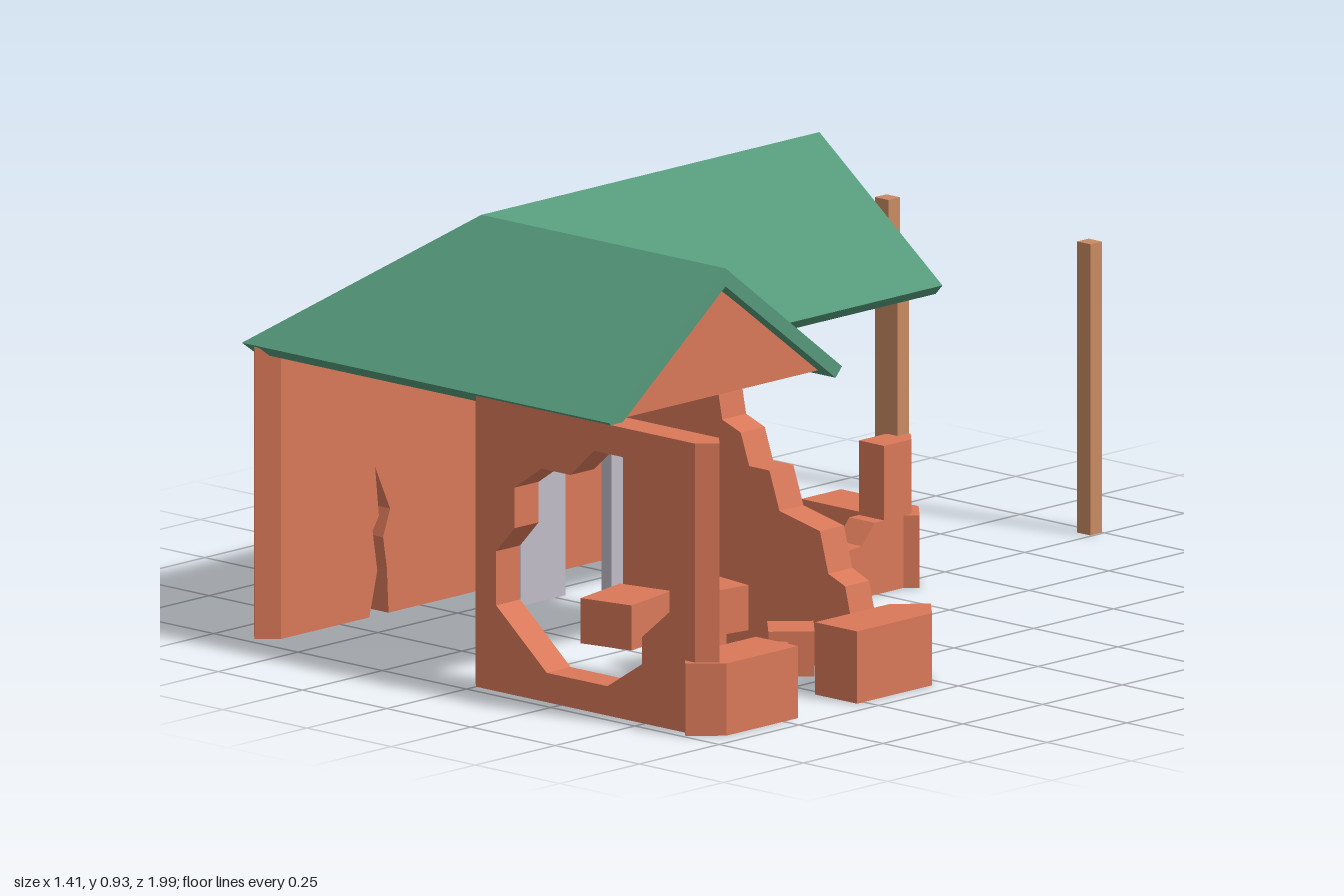
import * as THREE from 'three';

const mat = (color) => new THREE.MeshStandardMaterial({ color, flatShading: true });

export function createModel() {
  const model = new THREE.Group();
  const brick = mat(0xd97859), green = mat(0x55997a), wood = mat(0xc98a62), grey = mat(0xc0bcc8);

  const add = (name, geometry, material) => {
    const mesh = new THREE.Mesh(geometry, material);
    mesh.name = name;
    model.add(mesh);
    return mesh;
  };
  // box given by its minimum and maximum corners
  const block = (name, x0, x1, y0, y1, z0, z1, material = brick) =>
    add(name, new THREE.BoxGeometry(x1 - x0, y1 - y0, z1 - z0), material)
      .position.set((x0 + x1) / 2, (y0 + y1) / 2, (z0 + z1) / 2);
  // upright square prism turned 45 degrees, makes a pointed wall end
  const point = (name, x, z, h, half) => {
    const side = half * Math.SQRT2;
    const m = add(name, new THREE.BoxGeometry(side, h, side), brick);
    m.position.set(x, h / 2, z);
    m.rotation.y = Math.PI / 4;
  };
  const shapeOf = (pts) => new THREE.Shape(pts.map(([x, y]) => new THREE.Vector2(x, y)));
  const extrude = (shape, depth) => new THREE.ExtrudeGeometry(shape, { depth, bevelEnabled: false });

  // broken, stepped wall top shared by two walls, running away from the roofed corner
  const steps = [[-0.25, 0.645], [-0.24, 0.62], [-0.2, 0.6], [-0.18, 0.5], [-0.125, 0.48], [-0.1, 0.41],
    [-0.04, 0.41], [-0.01, 0.325], [0.11, 0.3], [0.135, 0.21], [0.185, 0.19], [0.2, 0.13]];

  // left wall with a crack rising from the ground; profile x runs towards the back
  const left = shapeOf([
    [-0.9375, 0], [-0.66, 0], [-0.635, 0.1], [-0.65, 0.19], [-0.63, 0.22], [-0.642, 0.33],
    [-0.595, 0.23], [-0.617, 0.17], [-0.605, 0.1], [-0.6, 0],
    [0.355, 0], [0.355, 0.12], ...steps.slice().reverse(), [-0.9375, 0.645]]);
  const leftWall = add('leftWall', extrude(left, 0.08), brick);
  leftWall.rotation.y = Math.PI / 2;
  leftWall.position.x = -0.69;
  point('leftWallEnd', -0.65, 0.9375, 0.645, 0.04);

  // door wall, continuing as the ruined back wall of the side room
  const doorWall = shapeOf([
    [-0.65, 0], [-0.46, 0], [-0.46, 0.5], [-0.19, 0.5], [-0.19, 0], [0.64, 0], [0.64, 0.13],
    ...steps.map(([s, y]) => [s + 0.3, y]).reverse(), [-0.65, 0.645]]);
  add('doorWall', extrude(doorWall, 0.075), brick).position.z = 0.25;

  // door frame
  const frame = shapeOf([[-0.475, 0], [-0.445, 0], [-0.445, 0.487], [-0.205, 0.487], [-0.205, 0],
    [-0.175, 0], [-0.175, 0.52], [-0.475, 0.52]]);
  add('doorFrame', extrude(frame, 0.14), grey).position.z = 0.22;

  // front wall with a large breach
  const front = shapeOf([[0, 0], [0.65, 0], [0.65, 0.645], [0, 0.645]]);
  front.holes.push(shapeOf([
    [0.06, 0.31], [0.115, 0.37], [0.115, 0.46], [0.195, 0.515], [0.28, 0.515], [0.35, 0.58],
    [0.435, 0.58], [0.575, 0.445], [0.575, 0.26], [0.492, 0.19], [0.492, 0.13], [0.39, 0.065],
    [0.21, 0.065], [0.06, 0.19]]));
  add('frontWall', extrude(front, 0.075), brick).position.z = 0.895;
  for (const x of [0, 0.65]) point('frontWallEnd', x, 0.9325, 0.645, 0.0375);

  // low remains of the right wall
  block('lowRightWall', 0.58, 0.705, 0, 0.16, 0.705, 0.93);
  block('lowRightWall', 0.58, 0.705, 0, 0.16, 0.285, 0.52);
  for (const z of [0.93, 0.285]) point('lowRightWallEnd', 0.6425, z, 0.16, 0.0625);

  // ruined wall along the right of the main wing
  const inner = shapeOf([
    [-0.29, 0], [0.355, 0], [0.355, 0.325], [0.27, 0.325], [0.27, 0.16], [0.24, 0.16], [0.2, 0.115],
    [0.14, 0.11], [0.11, 0.05], [-0.09, 0.05], [-0.15, 0.1], [-0.17, 0.16], [-0.29, 0.16]]);
  const innerWall = add('mainWingRightWall', extrude(inner, 0.075), brick);
  innerWall.rotation.y = Math.PI / 2;
  innerWall.position.x = -0.0375;
  point('mainWingRightWallEnd', 0, -0.355, 0.325, 0.0375);

  // low remains of the back wall on both sides of the rear entrance
  block('lowBackWall', -0.645, -0.42, 0, 0.16, -0.4175, -0.2925);
  block('lowBackWall', -0.23, 0, 0, 0.16, -0.4175, -0.2925);
  for (const x of [-0.645, 0]) point('lowBackWallEnd', x, -0.355, 0.16, 0.0625);

  // two roof wings meeting in a mitre: the far end of each profile is sheared by 45 degrees
  const wing = (name, pts, depth, shear, material) => {
    const geo = extrude(shapeOf(pts), depth);
    const p = geo.attributes.position;
    for (let i = 0; i < p.count; i++) {
      if (p.getZ(i) > depth / 2) p.setZ(i, p.getZ(i) + shear * p.getX(i));
    }
    geo.computeVertexNormals();
    return add(name, geo, material);
  };
  const roof = [[-0.365, 0.65], [-0.345, 0.628], [0, 0.89], [0.345, 0.628], [0.365, 0.65], [0, 0.93]];
  const attic = [[-0.335, 0.642], [0.335, 0.642], [0, 0.888]];
  for (const [name, pts, inset, m] of [['Roof', roof, 0, green], ['Gable', attic, 0.035, brick]]) {
    wing('main' + name, pts, 1.06 - inset, -1, m).position.set(-0.325, 0, -0.45 + inset);
    const side = wing('side' + name, pts, 0.725 - inset, 1, m);
    side.rotation.y = -Math.PI / 2;
    side.position.set(0.4 - inset, 0, 0.61);
  }

  // porch posts
  for (const x of [-0.625, -0.025]) {
    for (const z of [-0.98, -0.375]) {
      block('porchPost', x - 0.02, x + 0.02, 0, 0.645, z - 0.018, z + 0.018, wood);
    }
  }

  // fallen blocks: x, y, z, width, height, depth, turn
  const rubble = [
    [0.48, 0.05, 0.585, 0.095, 0.1, 0.12, 0.52],
    [0.527, 0.05, 0.768, 0.095, 0.1, 0.125, -0.27],
    [0.395, 0.05, 0.4, 0.1, 0.1, 0.1, 0.785],
    [0.29, 0.05, 0.62, 0.13, 0.1, 0.16, 0.4],
    [0.222, 0.15, 0.735, 0.13, 0.1, 0.16, 0.2],
    [0.285, 0.15, 0.54, 0.12, 0.1, 0.12, -0.15],
  ];
  for (const [x, y, z, w, h, d, turn] of rubble) {
    const m = add('rubbleBlock', new THREE.BoxGeometry(w, h, d), brick);
    m.position.set(x, y, z);
    m.rotation.y = turn;
  }

  return model;
}
